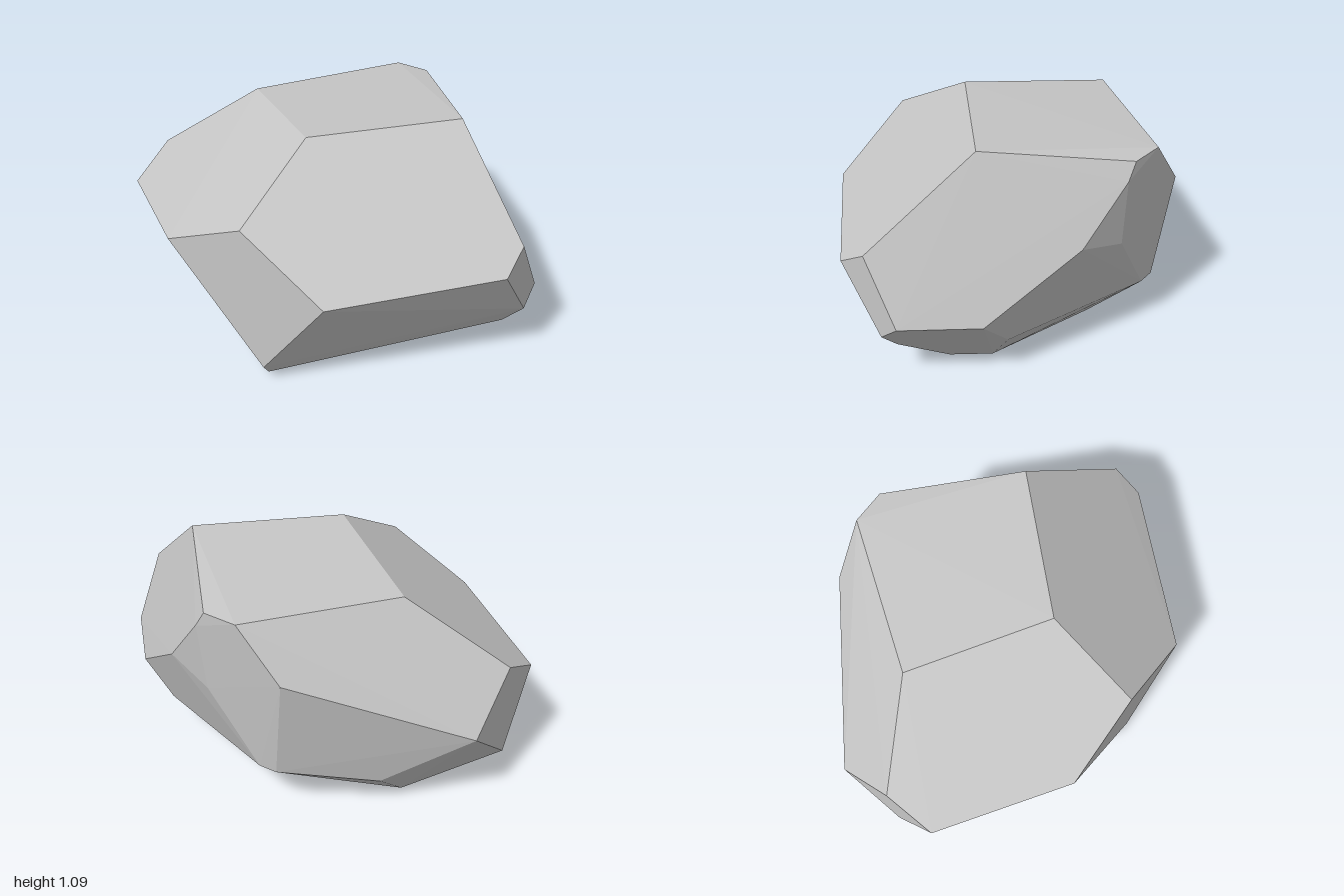
import * as THREE from 'three';
import { ConvexGeometry } from 'three/addons/geometries/ConvexGeometry.js';

// A faceted boulder: the convex hull of the corners where its cut planes meet.
const corners = {
  front: [[0, 0.82, 0.75], [-0.43, 0.62, 0.75], [0.44, 0.57, 0.75], [0.1, 0.1, 0.75]],
  top: [[0.025, 1.075, 0.28], [-0.56, 1.0, -0.12], [0.535, 1.09, -0.25]],
  left: [[1, 0.6, 0.14], [1, 0.69, -0.01], [1, 0.38, -0.19], [1, 0.295, -0.09], [0.9, 0.19, -0.08]],
  right: [[-1, 0.545, 0.35], [-1, 0.67, 0.1], [-1, 0.44, -0.19], [-1, 0.18, 0.12], [-0.95, 0.135, 0.12]],
  back: [
    [-0.11, 1.02, -0.75], [0.06, 1.02, -0.75], [0.11, 0.94, -0.75], [-0.32, 0.77, -0.725],
    [0.33, 0.67, -0.68], [0.73, 0.365, -0.455], [0.09, 0.6, -0.72], [0.56, 0.2, -0.45],
    [-0.16, 0.24, -0.68], [-0.25, 0.24, -0.675], [-0.63, 0.17, -0.39],
  ],
  base: [
    [0.09, 0.035, 0.7], [-0.5, 0.02, 0.33], [-0.64, 0, -0.2],
    [-0.06, 0.01, -0.44], [0.51, 0.015, -0.31], [0.65, 0.02, -0.165],
  ],
};

export function createModel() {
  const group = new THREE.Group();
  group.name = 'boulder';
  const stone = new THREE.MeshStandardMaterial({ color: 0xc6c6c6 });
  stone.name = 'light grey stone';
  stone.flatShading = true;

  const points = Object.values(corners).flat().map((p) => new THREE.Vector3(...p));
  const rock = new THREE.Mesh(new ConvexGeometry(points), stone);
  rock.name = 'rock';
  group.add(rock);
  return group;
}
